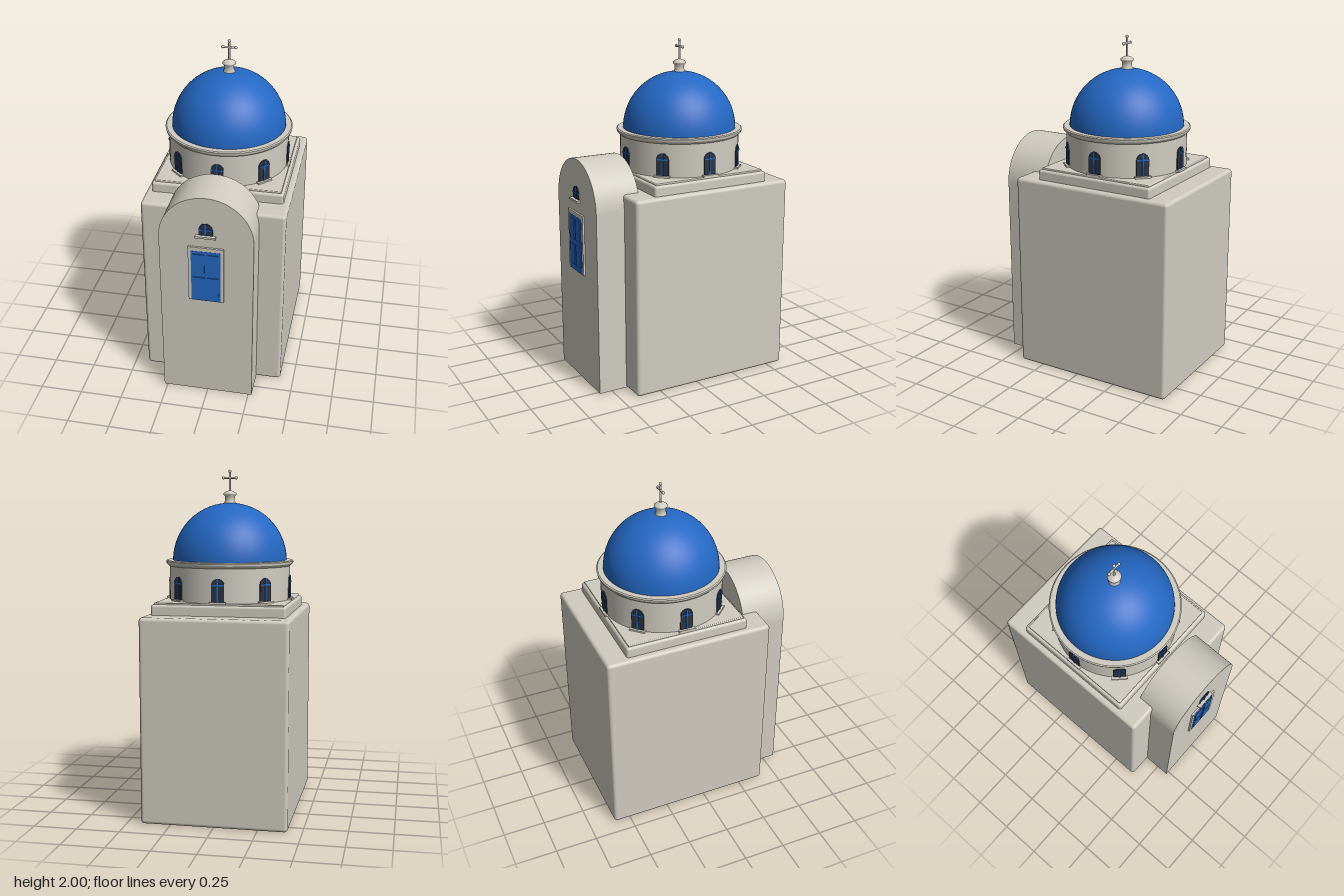
import * as THREE from 'three';
import { RoundedBoxGeometry } from 'three/addons/geometries/RoundedBoxGeometry.js';

const paint = (name, color) => {
  const m = new THREE.MeshStandardMaterial({ color });
  m.name = name;
  return m;
};

export function createModel() {
  const wall = paint('limewash', 0xd0ccc1);
  const blue = paint('blue paint', 0x2468c4);
  const glass = paint('dark glass', 0x2c3440);
  const root = new THREE.Group();
  root.name = 'domedChapel';

  const add = (parent, name, geo, mat, x = 0, y = 0, z = 0) => {
    const m = new THREE.Mesh(geo, mat);
    m.name = name;
    m.position.set(x, y, z);
    parent.add(m);
    return m;
  };
  const box = (parent, name, mat, w, h, d, x, y, z) =>
    add(parent, name, new THREE.BoxGeometry(w, h, d), mat, x, y, z);

  // Upright rectangle with a semicircular top, extruded along +z
  const archGeo = (r, springY, depth, segments) => {
    const s = new THREE.Shape();
    s.moveTo(-r, 0);
    s.lineTo(r, 0);
    s.lineTo(r, springY);
    s.absarc(0, springY, r, 0, Math.PI, false);
    s.lineTo(-r, 0);
    return new THREE.ExtrudeGeometry(s, { depth, bevelEnabled: false, curveSegments: segments });
  };

  // Arched window with glazing bars and a sill; local z = 0 is the wall face
  const addWindow = (parent, name, r, spring, sillW, sillOut) => {
    const g = new THREE.Group();
    g.name = name;
    add(g, 'pane', archGeo(r, spring, 0.008, 16), glass, 0, 0, -0.004);
    box(g, 'verticalBar', blue, 0.008, spring + r - 0.004, 0.006, 0, (spring + r) / 2, 0.005);
    box(g, 'crossBar', blue, r * 1.9, 0.008, 0.006, 0, spring, 0.005);
    box(g, 'sill', wall, sillW, 0.012, sillOut + 0.02, 0, -0.004, sillOut / 2 - 0.01);
    parent.add(g);
    return g;
  };

  // Main block and the stepped base of the drum
  add(root, 'mainBlock', new RoundedBoxGeometry(0.84, 1.18, 1.005, 3, 0.02), wall, 0, 0.59, -0.0975);
  add(root, 'drumBase', new RoundedBoxGeometry(0.77, 0.12, 0.74, 2, 0.015), wall, 0, 1.18, -0.1);
  add(root, 'drumBaseStep', new RoundedBoxGeometry(0.738, 0.06, 0.708, 2, 0.005), wall, 0, 1.22, -0.1);

  // Barrel-roofed porch
  add(root, 'porch', archGeo(0.27, 1.085, 0.27, 32), wall, 0, 0, 0.308);

  // Door: frame, leaves and raised panels
  const door = new THREE.Group();
  door.name = 'door';
  door.position.z = 0.578;
  root.add(door);
  for (const s of [-1, 1]) {
    box(door, 'doorJamb', wall, 0.017, 0.36, 0.014, s * 0.0935, 0.86, 0.004);
    for (const y of [0.78, 0.935]) box(door, 'doorPanel', blue, 0.066, 0.125, 0.006, s * 0.041, y, 0.014);
  }
  box(door, 'doorLintel', wall, 0.17, 0.024, 0.014, 0, 1.028, 0.004);
  box(door, 'doorLeaf', blue, 0.17, 0.336, 0.014, 0, 0.848, 0.005);

  // Window above the door
  addWindow(root, 'porchWindow', 0.04, 0.037, 0.115, 0.022).position.set(0, 1.118, 0.578);

  // Drum, cornice and dome share one axis
  const tower = new THREE.Group();
  tower.name = 'tower';
  tower.position.z = -0.1;
  root.add(tower);
  add(tower, 'drum', new THREE.CylinderGeometry(0.355, 0.355, 0.22, 64), wall, 0, 1.35, 0);

  // Cornice built from hard-edged bands
  add(tower, 'corniceLower', new THREE.CylinderGeometry(0.372, 0.358, 0.014, 48), wall, 0, 1.452, 0);
  add(tower, 'corniceBand', new THREE.CylinderGeometry(0.375, 0.372, 0.014, 48), wall, 0, 1.466, 0);
  add(tower, 'corniceTop', new THREE.CylinderGeometry(0.368, 0.375, 0.005, 48), wall, 0, 1.4755, 0);
  add(tower, 'dome', new THREE.SphereGeometry(0.335, 64, 24, 0, Math.PI * 2, 0, Math.PI / 2), blue, 0, 1.474, 0);

  // Eight windows around the drum
  for (let i = 0; i < 8; i++) {
    const a = (i * Math.PI) / 4;
    const w = addWindow(tower, 'drumWindow', 0.037, 0.095, 0.095, 0.018);
    w.position.set(Math.sin(a) * 0.355, 1.258, Math.cos(a) * 0.355);
    w.rotation.y = a;
  }

  // Finial: neck, collar and cross
  const neck = [[0.033, 1.795], [0.033, 1.815], [0.027, 1.822], [0.029, 1.846], [0.038, 1.855],
    [0.038, 1.864], [0.024, 1.874], [0.008, 1.88], [0, 1.88]];
  add(tower, 'finialNeck', new THREE.LatheGeometry(neck.map(([x, y]) => new THREE.Vector2(x, y)), 24), wall);
  add(tower, 'crossPost', new THREE.CylinderGeometry(0.006, 0.006, 0.12, 12), wall, 0, 1.934, 0);
  add(tower, 'crossArm', new THREE.CylinderGeometry(0.006, 0.006, 0.075, 12), wall, 0, 1.953, 0).rotation.z = Math.PI / 2;
  for (const [x, y] of [[0, 1.991], [-0.038, 1.953], [0.038, 1.953]]) {
    add(tower, 'crossTip', new THREE.SphereGeometry(0.009, 12, 8), wall, x, y, 0);
  }
  return root;
}
